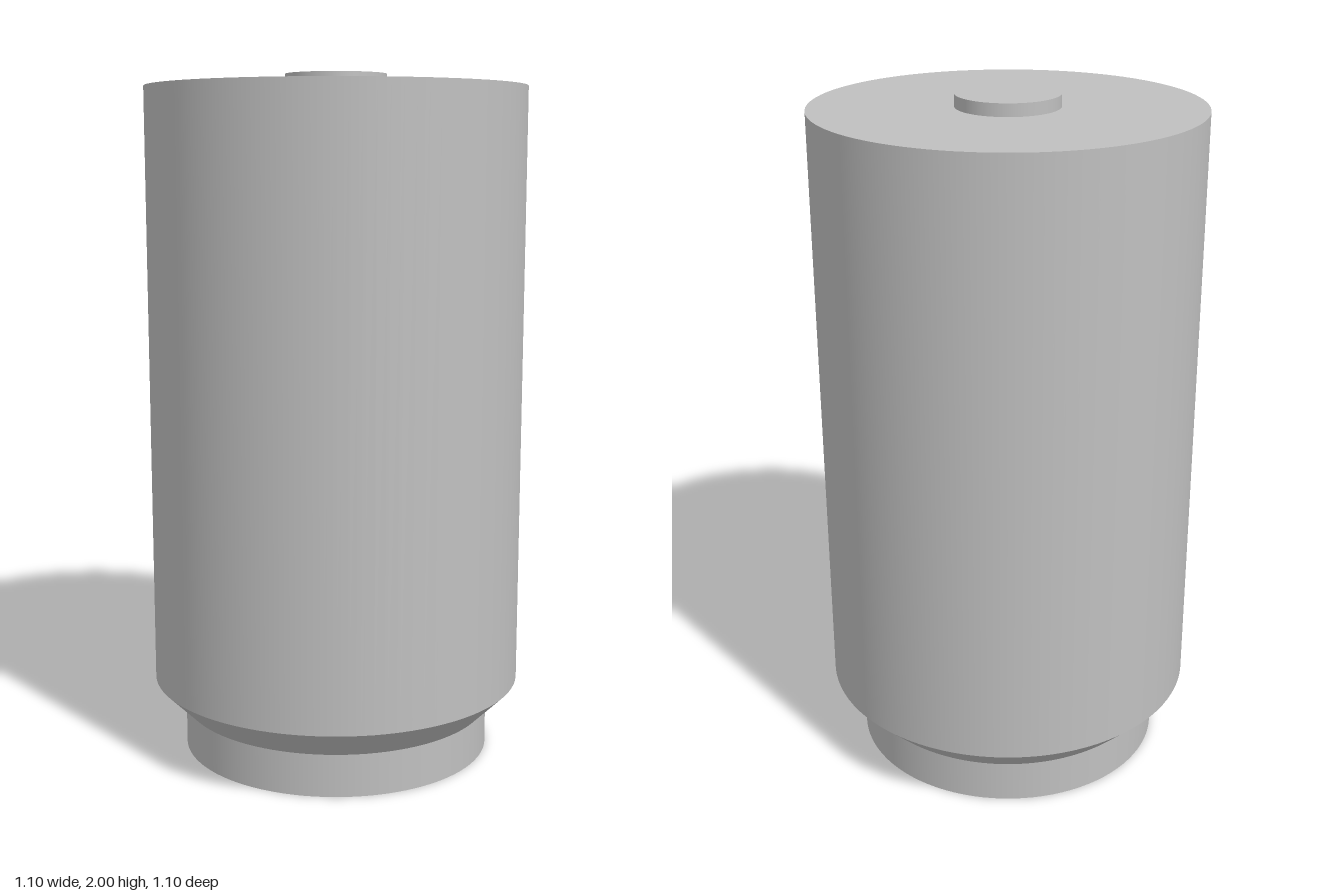
import * as THREE from 'three';

export function createModel() {
  const group = new THREE.Group();
  const metal = new THREE.MeshStandardMaterial({ color: 0xc0c0c0 });
  metal.name = 'light grey metal';

  // Round section between two heights; caps close only the exposed ends
  function section(name, rBottom, rTop, y0, y1, open = false) {
    const geometry = new THREE.CylinderGeometry(rTop, rBottom, y1 - y0, 96, 1, open);
    const mesh = new THREE.Mesh(geometry, metal);
    mesh.name = name;
    mesh.position.y = (y0 + y1) / 2;
    group.add(mesh);
  }

  section('baseCollar', 0.459, 0.459, 0, 0.125);
  section('chamfer', 0.459, 0.55, 0.125, 0.216, true);
  section('body', 0.55, 0.55, 0.216, 1.964, true);

  // Flat top of the body around the raised button
  const top = new THREE.Mesh(new THREE.RingGeometry(0.147, 0.55, 96), metal);
  top.name = 'bodyTop';
  top.rotation.x = -Math.PI / 2;
  top.position.y = 1.964;
  group.add(top);

  section('topButton', 0.147, 0.147, 1.964, 2);
  return group;
}
